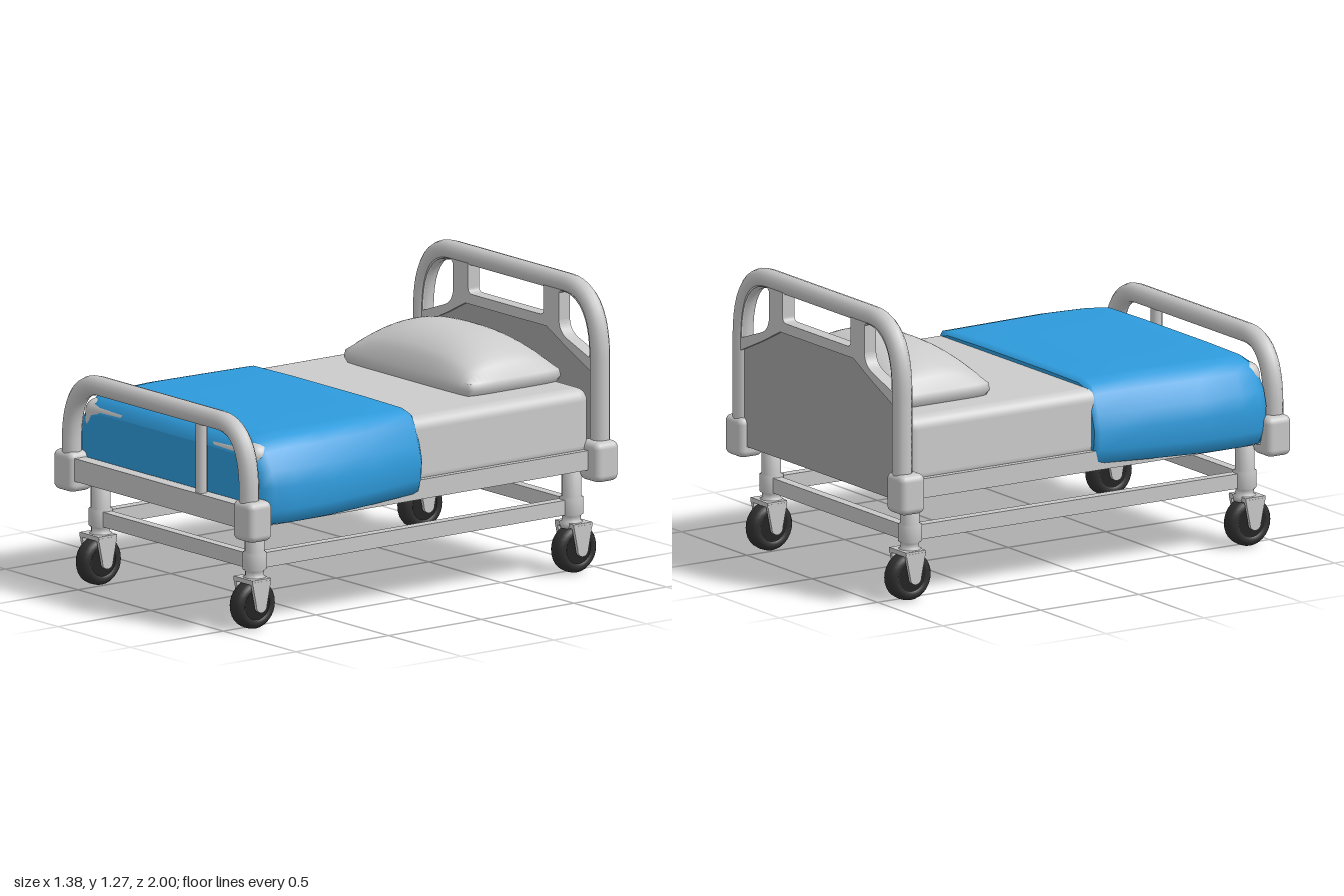
import * as THREE from 'three';
import { mergeVertices } from 'three/addons/utils/BufferGeometryUtils.js';
import { RoundedBoxGeometry } from 'three/addons/geometries/RoundedBoxGeometry.js';

const material = (name, color, side = THREE.FrontSide) => {
  const m = new THREE.MeshStandardMaterial({ color, side });
  m.name = name;
  return m;
};
const V = (x, y, z = 0) => new THREE.Vector3(x, y, z);

export function createModel() {
  const bed = new THREE.Group();
  bed.name = 'hospitalBed';
  const frameGrey = material('frameGrey', 0xc8c8c8);
  const panelGrey = material('panelGrey', 0xa4a4a4);
  const linen = material('linen', 0xcbcbcb);
  const blue = material('blanketBlue', 0x2e9bdc, THREE.DoubleSide);
  const rubber = material('rubber', 0x303030);
  const hubBlack = material('hubBlack', 0x222222);

  const add = (name, geometry, mat, x = 0, y = 0, z = 0, parent = bed) => {
    const mesh = new THREE.Mesh(geometry, mat);
    mesh.name = name;
    mesh.position.set(x, y, z);
    parent.add(mesh);
    return mesh;
  };
  const box = (name, w, h, d, x, y, z, mat = frameGrey, parent = bed) =>
    add(name, new THREE.BoxGeometry(w, h, d), mat, x, y, z, parent);
  const plate = (name, shape, depth, mat, z) =>
    add(name, new THREE.ExtrudeGeometry(shape, { depth, bevelEnabled: false, curveSegments: 10 }), mat, 0, 0, z - depth / 2);

  // Bent tube hoops at both ends
  const hoop = (name, top, bendY, bendX, z) => {
    const x = 0.61;
    const path = new THREE.CurvePath();
    path.add(new THREE.LineCurve3(V(-x, 0.5), V(-x, bendY)));
    path.add(new THREE.QuadraticBezierCurve3(V(-x, bendY), V(-x, top), V(-bendX, top)));
    path.add(new THREE.LineCurve3(V(-bendX, top), V(bendX, top)));
    path.add(new THREE.QuadraticBezierCurve3(V(bendX, top), V(x, top), V(x, bendY)));
    path.add(new THREE.LineCurve3(V(x, bendY), V(x, 0.5)));
    add(name, new THREE.TubeGeometry(path, 70, 0.043, 12), frameGrey, 0, 0, z);
  };
  hoop('headboardTube', 1.225, 0.93, 0.39, -0.947);
  hoop('footboardTube', 0.897, 0.62, 0.41, 0.947);

  // Headboard frame with a window and two corner openings
  const frame = new THREE.Shape();
  frame.moveTo(-0.6, 0.87);
  frame.lineTo(-0.42, 0.95);
  frame.lineTo(-0.28, 1.02);
  frame.lineTo(0.28, 1.02);
  frame.lineTo(0.42, 0.95);
  frame.lineTo(0.6, 0.87);
  frame.lineTo(0.6, 0.95);
  frame.quadraticCurveTo(0.6, 1.22, 0.38, 1.22);
  frame.lineTo(-0.38, 1.22);
  frame.quadraticCurveTo(-0.6, 1.22, -0.6, 0.95);
  const win = new THREE.Path();
  win.moveTo(-0.26, 1.09);
  win.quadraticCurveTo(-0.26, 1.065, -0.23, 1.065);
  win.lineTo(0.23, 1.065);
  win.quadraticCurveTo(0.26, 1.065, 0.26, 1.09);
  win.lineTo(0.26, 1.2);
  win.lineTo(-0.26, 1.2);
  frame.holes.push(win);
  for (const s of [-1, 1]) {
    const corner = new THREE.Path();
    corner.moveTo(s * 0.365, 1.06);
    corner.quadraticCurveTo(s * 0.37, 1.01, s * 0.42, 0.99);
    corner.lineTo(s * 0.575, 0.935);
    corner.quadraticCurveTo(s * 0.575, 1.19, s * 0.38, 1.195);
    corner.lineTo(s * 0.365, 1.18);
    frame.holes.push(corner);
  }
  plate('headboardFrame', frame, 0.06, frameGrey, -0.947);

  // Solid headboard panel under the frame
  const panel = new THREE.Shape();
  const edge = [[-0.6, 0.46], [0.6, 0.46], [0.6, 0.9], [0.42, 0.97], [0.28, 1.04], [-0.28, 1.04], [-0.42, 0.97], [-0.6, 0.9]];
  edge.forEach(([x, y], i) => (i ? panel.lineTo(x, y) : panel.moveTo(x, y)));
  plate('headboardPanel', panel, 0.035, panelGrey, -0.947);

  // Footboard rail and single upright
  box('footboardRail', 1.16, 0.1, 0.06, 0, 0.51, 0.947);
  add('footboardUpright', new THREE.CylinderGeometry(0.025, 0.025, 0.36, 12), frameGrey, 0.283, 0.71, 0.947);

  // Bed base
  box('deck', 1.16, 0.08, 1.84, 0, 0.502, 0, panelGrey);
  for (const s of [-1, 1]) {
    box('sideRail', 0.045, 0.085, 1.8, s * 0.6, 0.503, 0);
    box('lowerSideRail', 0.045, 0.065, 1.72, s * 0.525, 0.292, 0);
    box('lowerEndRail', 1.05, 0.065, 0.045, 0, 0.292, s * 0.855);
  }

  // Wheel and tyre profiles, shared by the four corners
  const v2 = (pts) => pts.map(([x, y]) => new THREE.Vector2(x, y));
  const tyre = new THREE.LatheGeometry(v2([[0.065, -0.035], [0.075, -0.044], [0.092, -0.038], [0.104, -0.022],
    [0.106, 0], [0.104, 0.022], [0.092, 0.038], [0.075, 0.044], [0.065, 0.035]]), 28);
  const hub = new THREE.CylinderGeometry(0.07, 0.07, 0.07, 24);
  const leg = new THREE.LatheGeometry(v2([[0, 0.2], [0.05, 0.2], [0.052, 0.222], [0.04, 0.23], [0.04, 0.25], [0.052, 0.26],
    [0.052, 0.33], [0.042, 0.335], [0.042, 0.47], [0, 0.47]]), 16);
  // Fork cheek outline, in the wheel's plane
  const cheek = new THREE.Shape();
  cheek.moveTo(-0.05, 0.215);
  cheek.lineTo(-0.028, 0.11);
  cheek.absarc(0, 0.107, 0.028, Math.PI, Math.PI * 2, false);
  cheek.lineTo(0.05, 0.215);
  const cheekGeo = new THREE.ExtrudeGeometry(cheek, { depth: 0.016, bevelEnabled: false });
  cheekGeo.translate(0, 0, -0.008).rotateY(Math.PI / 2);

  for (const sx of [-1, 1]) {
    for (const sz of [-1, 1]) {
      add('socket', new RoundedBoxGeometry(0.135, 0.175, 0.125, 3, 0.03), frameGrey, sx * 0.618, 0.497, sz * 0.935);
      const caster = new THREE.Group();
      caster.name = 'casterLeg';
      caster.position.set(sx * 0.53, 0, sz * 0.867);
      bed.add(caster);
      add('leg', leg, frameGrey, 0, 0, -sz * 0.012, caster);
      box('forkBridge', 0.13, 0.02, 0.1, 0, 0.214, 0, frameGrey, caster);
      for (const s of [-1, 1]) add('forkCheek', cheekGeo, frameGrey, s * 0.058, 0, 0, caster);
      add('tyre', tyre, rubber, 0, 0.107, 0, caster).rotation.z = Math.PI / 2;
      add('hub', hub, hubBlack, 0, 0.107, 0, caster).rotation.z = Math.PI / 2;
    }
  }

  // Mattress
  add('mattress', new RoundedBoxGeometry(1.2, 0.3, 1.82, 4, 0.055), linen, 0, 0.66, 0);

  // Pillow: a box pushed up into a dome with tucked lower edges
  let pillow = new THREE.BoxGeometry(2, 2, 2, 24, 2, 18);
  pillow.deleteAttribute('uv');
  pillow.deleteAttribute('normal');
  pillow = mergeVertices(pillow);
  const p = pillow.attributes.position;
  for (let i = 0; i < p.count; i++) {
    const u = p.getX(i), t = p.getY(i), v = p.getZ(i);
    const dome = Math.pow((1 - Math.abs(u) ** 2.6) * (1 - Math.abs(v) ** 2.2), 0.65);
    const inset = t === 0 ? 1 : t < 0 ? 0.95 : 0.985;
    const round = 1 - 0.03 * (u * v) ** 6;
    p.setXYZ(i, u * 0.443 * inset * round, t < 0 ? 0.8 : t === 0 ? 0.835 : 0.865 + 0.162 * dome, v * 0.257 * inset * round);
  }
  pillow.computeVertexNormals();
  add('pillow', pillow, linen, -0.007, 0, -0.633);

  // Blanket: draped cross-sections lofted along z: [z, half width, top, hem, shoulder x]
  const stations = [[0.025, 0.625, 0.825, 0.51, 0.55], [0.045, 0.645, 0.845, 0.49, 0.56], [0.3, 0.665, 0.848, 0.48, 0.56],
    [0.55, 0.69, 0.848, 0.475, 0.57], [0.75, 0.68, 0.845, 0.47, 0.56], [0.85, 0.665, 0.835, 0.47, 0.55],
    [0.895, 0.635, 0.805, 0.475, 0.54], [0.912, 0.59, 0.76, 0.49, 0.51]];
  const pos = [], index = [];
  let n = 0;
  for (const [z, w, top, hem, sh] of stations) {
    const half = [[0.58, hem + 0.01], [w - 0.025, hem], [w - 0.005, hem + 0.06], [w, 0.63], [w - 0.02, 0.7],
      [(w + sh) / 2 - 0.005, top - 0.06], [sh + 0.01, top - 0.02], [sh - 0.05, top - 0.004], [0.25, top]];
    const ring = [...half, ...half.slice().reverse().map(([x, y]) => [-x, y])];
    n = ring.length;
    ring.forEach(([x, y]) => pos.push(x, y, z));
  }
  for (let s = 0; s < stations.length - 1; s++) {
    for (let k = 0; k < n; k++) {
      const a = s * n + k, b = s * n + (k + 1) % n;
      index.push(a, b, a + n, b, b + n, a + n);
    }
  }
  const drape = new THREE.BufferGeometry();
  drape.setAttribute('position', new THREE.Float32BufferAttribute(pos, 3));
  drape.setIndex(index);
  // Ring runs counter-clockwise seen from the front, so walls face outward
  drape.computeVertexNormals();
  add('blanket', drape, blue);

  // Flat ends of the blanket
  for (const s of [0, stations.length - 1]) {
    const outline = new THREE.Shape();
    for (let k = 0; k < n; k++) {
      const q = (s * n + k) * 3;
      if (k) outline.lineTo(pos[q], pos[q + 1]);
      else outline.moveTo(pos[q], pos[q + 1]);
    }
    add(s ? 'blanketFoot' : 'blanketHem', new THREE.ShapeGeometry(outline), blue, 0, 0, stations[s][0]);
  }
  return bed;
}
